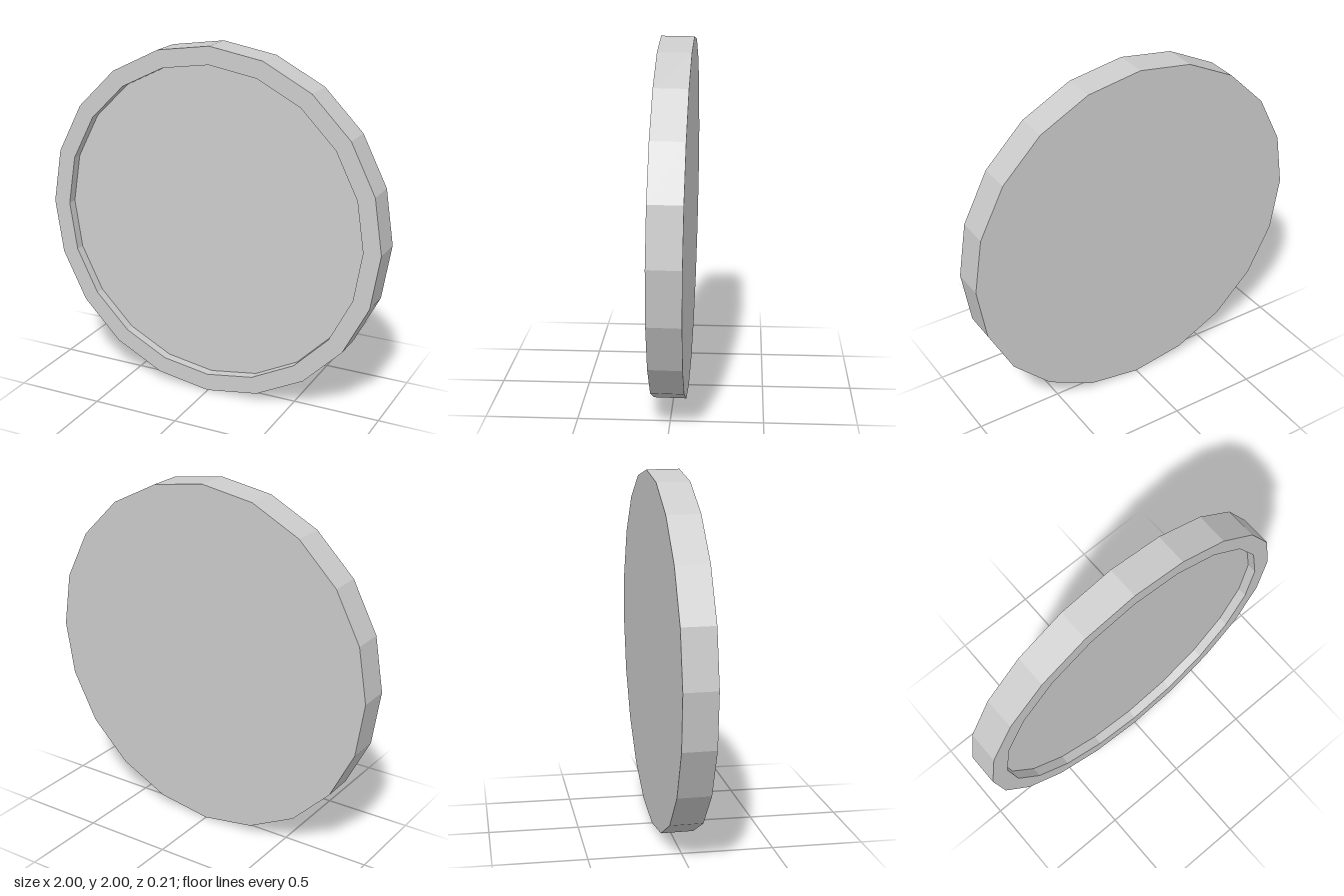
import * as THREE from 'three';

const SIDES = 20;
const RADIUS = 1;
const INNER = 0.9;    // radius of the recess
const HALF = 0.09;    // half thickness
const FLOOR = 0.035;  // height of the recess floor
const LEAN = 0.013;   // slight backward tilt

export function createModel() {
  const group = new THREE.Group();
  group.name = 'shallowDish';

  // Closed profile: flat back, outer wall, raised rim, recess wall, recess floor
  const profile = [
    [0, -HALF], [RADIUS, -HALF], [RADIUS, HALF],
    [INNER, HALF], [INNER, FLOOR], [0, FLOOR],
  ].map(([r, h]) => new THREE.Vector2(r, h));

  // Turn the axis to face the front, then lean the top back
  const geometry = new THREE.LatheGeometry(profile, SIDES);
  geometry.rotateX(Math.PI / 2 - LEAN);
  geometry.translate(0, RADIUS, 0);

  const material = new THREE.MeshStandardMaterial({ color: 0xcccccc, flatShading: true });
  const disc = new THREE.Mesh(geometry, material);
  disc.name = 'rimmedDisc';
  group.add(disc);
  return group;
}
